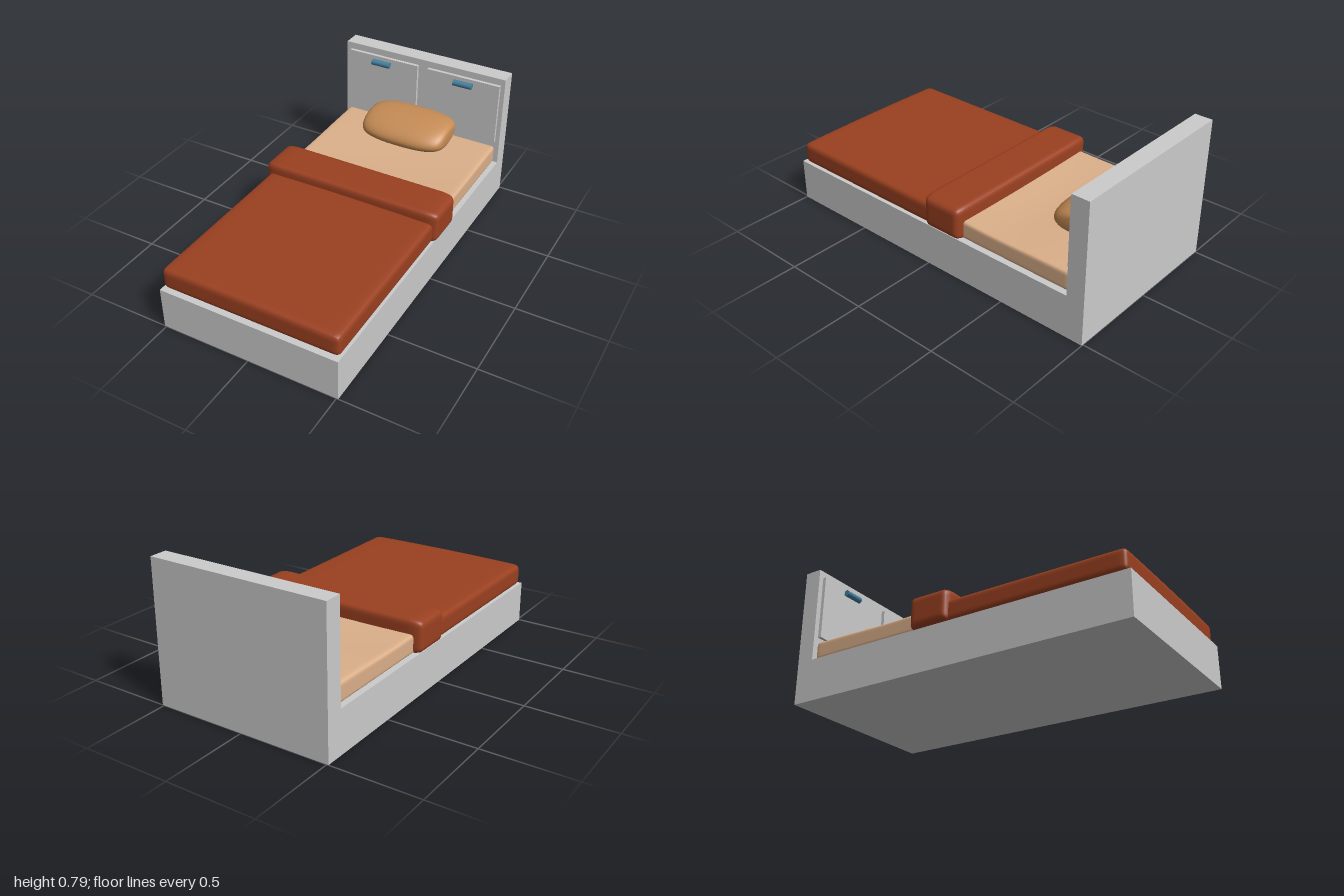
import * as THREE from 'three';
import { mergeVertices } from 'three/addons/utils/BufferGeometryUtils.js';

const paint = (color) => new THREE.MeshStandardMaterial({ color });
const grey = paint(0xcccccc);
const rust = paint(0x9a4020);
const sheet = paint(0xdcb08a);
const tan = paint(0xc68c55);
const blue = paint(0x4682a0);

// Adds a named mesh centred at x, y, z
function add(parent, name, geometry, material, x, y, z) {
  const mesh = new THREE.Mesh(geometry, material);
  mesh.name = name;
  mesh.position.set(x, y, z);
  parent.add(mesh);
  return mesh;
}

// Solid box given by its limits
function slab(parent, name, x0, x1, y0, y1, z0, z1) {
  const geometry = new THREE.BoxGeometry(x1 - x0, y1 - y0, z1 - z0);
  return add(parent, name, geometry, grey, (x0 + x1) / 2, (y0 + y1) / 2, (z0 + z1) / 2);
}

// Smooth normals across the whole surface
function smooth(geometry) {
  geometry.deleteAttribute('uv');
  geometry.deleteAttribute('normal');
  const merged = mergeVertices(geometry, 1e-5);
  merged.computeVertexNormals();
  return merged;
}

// Cushion-like box: rounded edges, with an optional rule that reshapes each point
function softBox(w, h, d, radius, reshape) {
  const geometry = new THREE.BoxGeometry(2, 2, 2, 24, 16, 24);
  const pos = geometry.attributes.position;
  const half = new THREE.Vector3(w / 2, h / 2, d / 2);
  const inner = half.clone().subScalar(radius);
  const p = new THREE.Vector3();
  const core = new THREE.Vector3();
  const spread = (t) => Math.sin(t * Math.PI / 2); // crowd points towards the edges
  for (let i = 0; i < pos.count; i++) {
    p.set(spread(pos.getX(i)), spread(pos.getY(i)), spread(pos.getZ(i))).multiply(half);
    core.copy(p).clamp(inner.clone().negate(), inner);
    p.sub(core).setLength(radius).add(core);
    if (reshape) reshape(p);
    pos.setXYZ(i, p.x, p.y, p.z);
  }
  return smooth(geometry);
}

// Pillow: elliptical cross-section with full, softly closed ends
function pillowGeometry(halfX, halfY, halfZ) {
  const geometry = new THREE.SphereGeometry(1, 40, 32);
  geometry.rotateZ(Math.PI / 2);
  const pos = geometry.attributes.position;
  for (let i = 0; i < pos.count; i++) {
    const x = pos.getX(i), y = pos.getY(i), z = pos.getZ(i);
    const r = Math.hypot(y, z);
    const swell = r > 1e-6 ? Math.pow(r, 0.4) / r : 0;
    const stretch = Math.sign(x) * Math.pow(Math.abs(x), 0.8);
    pos.setXYZ(i, stretch * halfX, y * swell * halfY, z * swell * halfZ);
  }
  return smooth(geometry);
}

export function createModel() {
  const bed = new THREE.Group();
  bed.name = 'bed';

  // Frame
  slab(bed, 'base', -0.51, 0.51, 0, 0.24, -0.9, 1);
  slab(bed, 'headboard', -0.51, 0.51, 0, 0.79, -1, -0.9);

  // Headboard cupboard doors with round bar handles
  for (const [side, x] of [['right', -0.255], ['left', 0.26]]) {
    slab(bed, side + 'Door', x - 0.225, x + 0.225, 0.38, 0.75, -0.9, -0.88);
    const bar = new THREE.CylinderGeometry(0.018, 0.018, 0.115, 20).rotateZ(Math.PI / 2);
    add(bed, side + 'Handle', bar, blue, x + 0.007 * Math.sign(x), 0.715, -0.866);
  }

  // Mattress, pressed down around the pillow and the middle
  const mattress = softBox(0.975, 0.11, 0.95, 0.02, (p) => {
    if (p.y < 0) return;
    const fade = Math.max(0, 1 - Math.pow(p.x / 0.487, 2));
    const dip = Math.exp(-Math.pow(p.z / 0.22, 2));
    p.y -= dip * (0.006 + 0.012 * fade) * (p.y / 0.055);
  });
  add(bed, 'mattress', mattress, sheet, 0, 0.296, -0.425);

  // Blanket, slightly crowned, and its turned-back fold
  const blanket = softBox(1.01, 0.124, 1.03, 0.03, (p) => {
    if (p.y > 0) p.y += 0.006 * Math.max(0, 1 - Math.pow(p.x / 0.505, 2)) * (p.y / 0.062);
  });
  add(bed, 'blanket', blanket, rust, 0, 0.302, 0.465);
  const fold = softBox(1.06, 0.187, 0.245, 0.03, (p) => {
    // ends taper towards the top, bottom and sides
    const end = Math.max(0, (Math.abs(p.x) - 0.45) / 0.08);
    p.y *= 1 - 0.12 * end * end;
    p.z *= 1 - 0.1 * end * end;
  });
  add(bed, 'blanketFold', fold, rust, 0, 0.332, -0.115);

  // Pillow leaning on the headboard
  const pillow = add(bed, 'pillow', pillowGeometry(0.263, 0.078, 0.172), tan, 0, 0.432, -0.732);
  pillow.rotation.x = 0.17;

  return bed;
}
